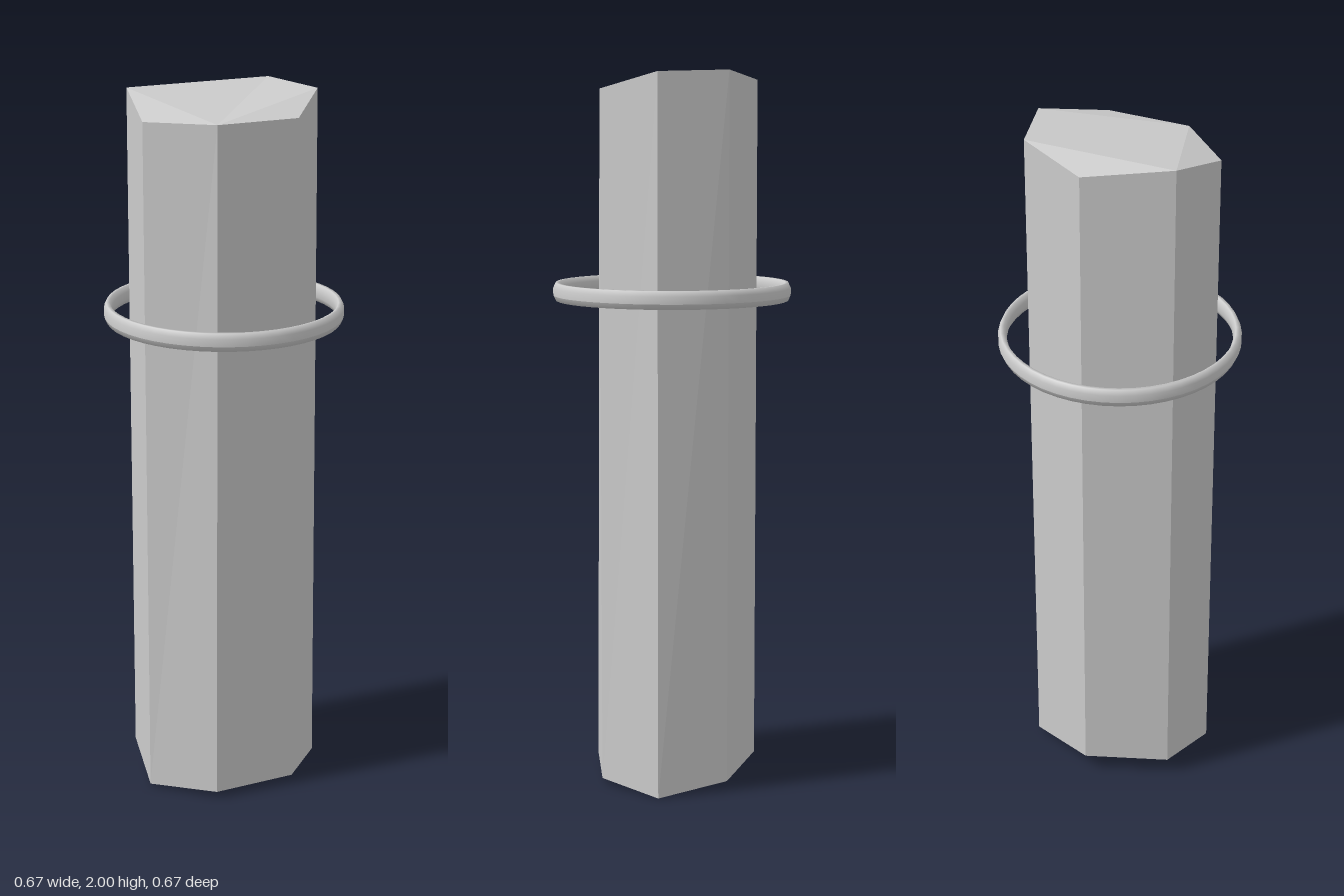
import * as THREE from 'three';

// Seven-sided column corners, clockwise seen from above: [x, y, z]
const topRim = [
  [0.01, 1.975, -0.237], [0.207, 2.0, -0.143], [0.257, 1.995, 0.053], [0.12, 1.95, 0.204],
  [-0.115, 1.95, 0.198], [-0.263, 1.945, 0.05], [-0.219, 2.0, -0.153],
];
const bottomRim = [
  [0.01, 0.055, -0.237], [0.207, 0.028, -0.143], [0.268, 0.0, 0.053], [0.12, 0.016, 0.204],
  [-0.125, 0.02, 0.21], [-0.264, 0.005, 0.054], [-0.219, 0.05, -0.153],
];
// How each slanted end is split into triangles
const capFaces = [[6, 0, 1], [2, 3, 4], [1, 2, 4], [1, 4, 6], [4, 5, 6]];

function columnGeometry() {
  const n = topRim.length;
  const index = [];
  for (let i = 0; i < n; i++) {
    const j = (i + 1) % n;
    index.push(n + j, n + i, i, n + j, i, j);
  }
  for (const [a, b, c] of capFaces) {
    index.push(c, b, a); // top
    index.push(n + a, n + b, n + c); // bottom
  }
  const g = new THREE.BufferGeometry();
  g.setAttribute('position', new THREE.Float32BufferAttribute([...topRim, ...bottomRim].flat(), 3));
  g.setIndex(index);
  const flat = g.toNonIndexed();
  flat.computeVertexNormals();
  return flat;
}

// Thin band with a tall eight-sided section
function ringGeometry(radius, halfWidth, halfHeight) {
  const section = [];
  for (let i = 0; i <= 8; i++) {
    const a = ((i - 0.5) / 8) * Math.PI * 2;
    const k = 1 / Math.cos(Math.PI / 8);
    section.push(new THREE.Vector2(radius + halfWidth * k * Math.cos(a), halfHeight * k * Math.sin(a)));
  }
  return new THREE.LatheGeometry(section, 48);
}

export function createModel() {
  const group = new THREE.Group();

  const column = new THREE.Mesh(
    columnGeometry(),
    new THREE.MeshStandardMaterial({ color: 0xcccccc, flatShading: true }),
  );
  column.name = 'column';

  const ring = new THREE.Mesh(
    ringGeometry(0.3215, 0.0115, 0.025),
    new THREE.MeshStandardMaterial({ color: 0xcccccc }),
  );
  ring.name = 'ring';
  ring.position.y = 1.39;

  group.add(column, ring);
  return group;
}
